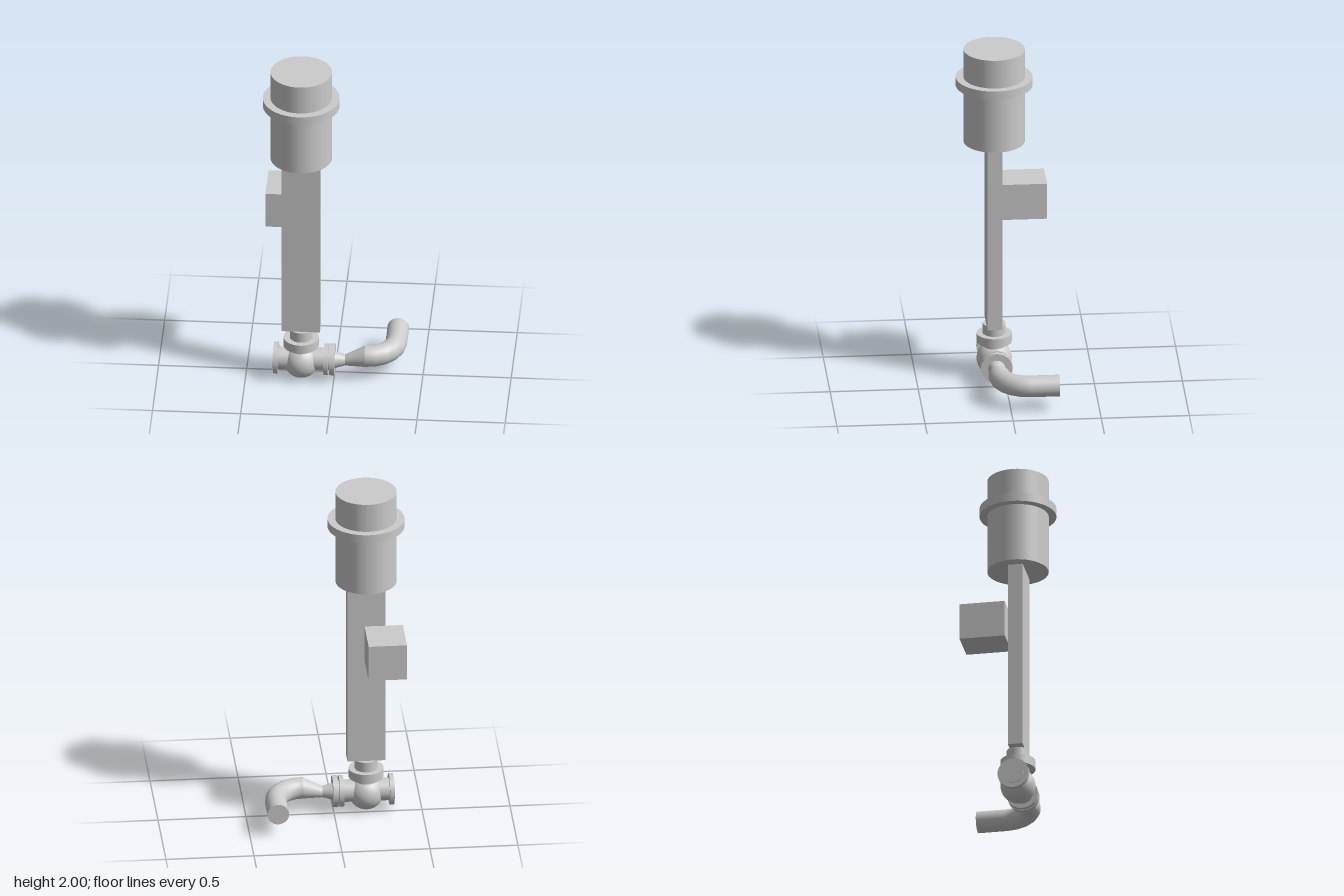
import * as THREE from 'three';

const AX = -0.187, AZ = 0.054;   // vertical axis of the valve and actuator
const PIPE_Y = 0.113;            // height of the valve's flow axis

export function createModel() {
  const group = new THREE.Group();
  const material = new THREE.MeshStandardMaterial({ color: 0xcccccc });

  const add = (name, geometry, x = 0, y = 0, z = 0) => {
    const mesh = new THREE.Mesh(geometry, material);
    mesh.name = name;
    mesh.position.set(x, y, z);
    group.add(mesh);
    return mesh;
  };
  // Upright cylinder on the main axis between two heights
  const upright = (name, r, y0, y1) =>
    add(name, new THREE.CylinderGeometry(r, r, y1 - y0, 40), AX, (y0 + y1) / 2, AZ);
  // Cylinder or cone along x on the flow axis, r0 at x0 and r1 at x1
  const along = (name, x0, x1, r0, r1 = r0) => {
    const geometry = new THREE.CylinderGeometry(r1, r0, x1 - x0, 32).rotateZ(-Math.PI / 2);
    return add(name, geometry, (x0 + x1) / 2, PIPE_Y, AZ);
  };
  // Box given by its two extreme corners
  const box = (name, a, b) => add(name,
    new THREE.BoxGeometry(b[0] - a[0], b[1] - a[1], b[2] - a[2]),
    (a[0] + b[0]) / 2, (a[1] + b[1]) / 2, (a[2] + b[2]) / 2);

  // Actuator, its flange, the column and the control box
  upright('actuatorHousing', 0.174, 1.435, 2);
  upright('actuatorFlange', 0.218, 1.78, 1.83);
  box('column', [-0.295, 0.315, 0.015], [-0.078, 1.435, 0.1]);
  box('controlBox', [-0.393, 0.95, -0.245], [-0.175, 1.165, 0.015]);

  // Valve body
  upright('stemNeck', 0.065, 0.255, 0.315);
  upright('bonnet', 0.1, 0.202, 0.255);
  upright('bodyNeck', 0.064, PIPE_Y, 0.202);
  add('valveBody', new THREE.SphereGeometry(0.1, 32, 20), AX, 0.101, AZ);
  along('valvePipe', AX - 0.135, AX + 0.135, 0.064);

  // Valve flanges with raised faces, mirrored about the main axis
  for (const side of [-1, 1]) {
    const flange = (name, a, b, r) =>
      along(name, AX + Math.min(side * a, side * b), AX + Math.max(side * a, side * b), r);
    flange('valveFlange', 0.13, 0.155, 0.09);
    flange('raisedFace', 0.155, 0.159, 0.062);
  }

  // Mating weld-neck flange
  along('matingFace', -0.028, -0.024, 0.062);
  along('matingFlange', -0.024, 0.005, 0.09);
  along('weldNeck', 0.005, 0.062, 0.049, 0.032);

  // Eccentric reducer with a flat underside
  const R = 0.0615, r = 0.032, x0 = 0.062, x1 = 0.175, rise = R - r;
  const reducer = along('reducer', x0, x1, r, R);
  const pos = reducer.geometry.attributes.position;
  for (let i = 0; i < pos.count; i++) {
    pos.setY(i, pos.getY(i) + rise * (pos.getX(i) / (x1 - x0) + 0.5));
  }
  reducer.geometry.computeVertexNormals();

  // Quarter elbow in five segments, then the straight outlet towards the back
  const bend = 0.166, cz = AZ - bend, endZ = -0.275, pipeY = PIPE_Y + rise;
  add('elbow', new THREE.TorusGeometry(bend, R, 32, 5, Math.PI / 2).rotateX(Math.PI / 2),
    x1, pipeY, cz);
  add('outletPipe', new THREE.CylinderGeometry(R, R, cz - endZ, 32).rotateX(Math.PI / 2),
    x1 + bend, pipeY, (cz + endZ) / 2);

  return group;
}
